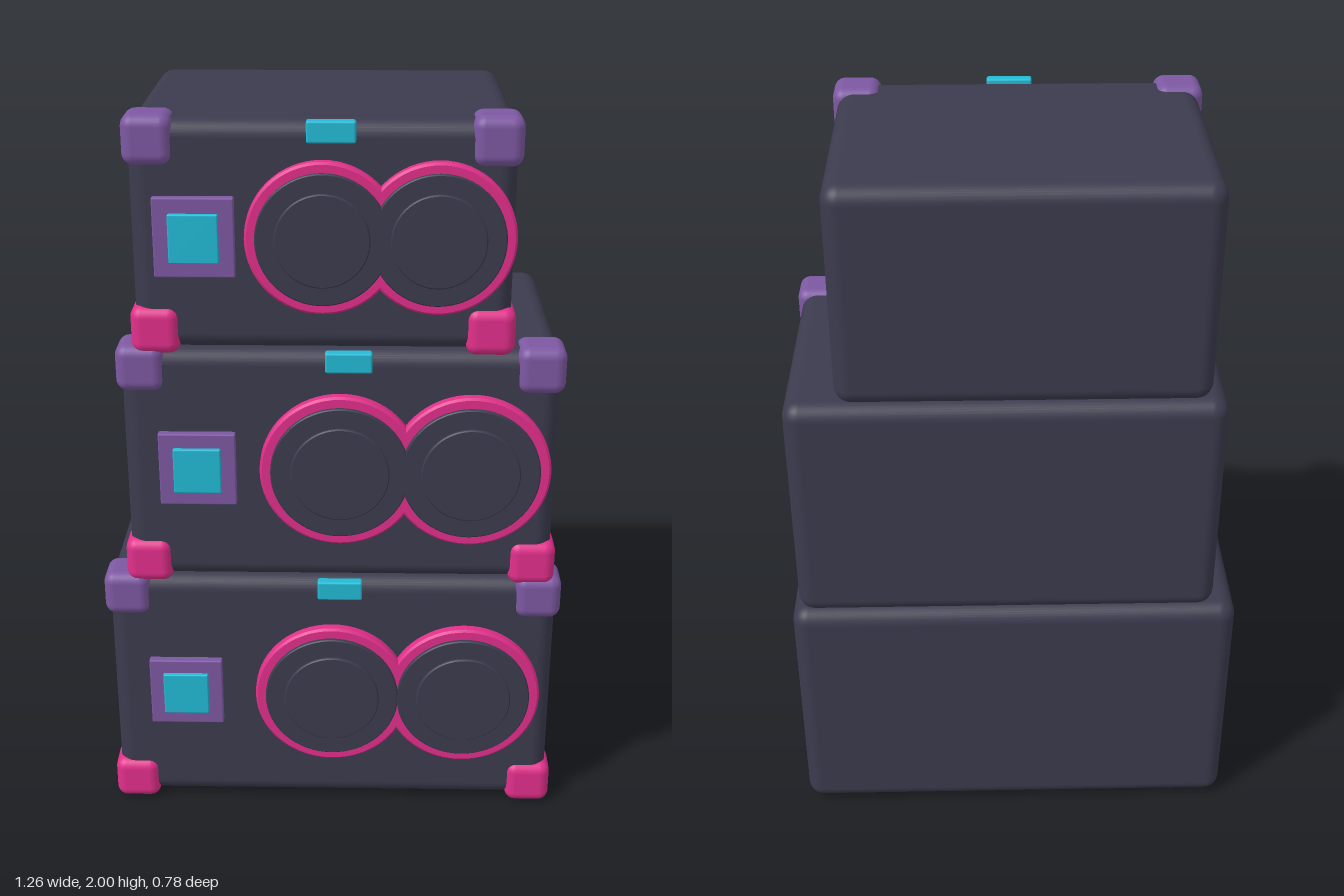
import * as THREE from 'three';
import { RoundedBoxGeometry } from 'three/addons/geometries/RoundedBoxGeometry.js';

const material = (name, color) => {
  const m = new THREE.MeshStandardMaterial({ color });
  m.name = name;
  return m;
};

export function createModel() {
  const charcoal = material('charcoal', 0x3b3b4e);
  const pink = material('pink', 0xe22f8b);
  const purple = material('purple', 0x7d58a2);
  const cyan = material('cyan', 0x22bbd6);

  const BACK = -0.39, FRONT = 0.342;

  // Rounded box given by its min and max corners
  function box(parent, name, mat, min, max, radius) {
    const s = max.map((v, i) => v - min[i]);
    const mesh = new THREE.Mesh(new RoundedBoxGeometry(s[0], s[1], s[2], 4, radius), mat);
    mesh.position.set(...max.map((v, i) => (v + min[i]) / 2));
    mesh.name = name;
    parent.add(mesh);
  }

  // Disc facing +z with a small bevel on its front edge
  function disc(parent, name, mat, x, y, radius, front, bevel) {
    const depth = front - FRONT + 0.01;
    const profile = [[0, 0], [radius, 0], [radius, 0], [radius, depth - bevel], [radius, depth - bevel],
      [radius - bevel, depth], [radius - bevel, depth], [0, depth]].map(p => new THREE.Vector2(...p));
    const geo = new THREE.LatheGeometry(profile, 64).rotateX(Math.PI / 2);
    const mesh = new THREE.Mesh(geo, mat);
    mesh.position.set(x, y, FRONT - 0.01);
    mesh.name = name;
    parent.add(mesh);
  }

  // One speaker cabinet with its fittings
  function cabinet(c) {
    const g = new THREE.Group();
    g.name = c.name;
    const [x0, x1] = c.x, [y0, y1] = c.y;
    box(g, 'cabinetBody', charcoal, [x0, y0, BACK], [x1, y1, FRONT], 0.045);

    // Corner guards: pink below, purple above
    const size = 0.127, out = 0.012;
    for (const x of [x0 - out, x1 + out - size]) {
      box(g, 'lowerCorner', pink, [x, y0 - out, 0.228], [x + size, y0 - out + size, 0.356], 0.03);
      box(g, 'upperCorner', purple, [x, y1 + out - size, 0.228], [x + size, y1 + out, 0.356], 0.03);
    }

    // Tab at the top edge
    box(g, 'topTab', cyan, [c.tab - 0.061, y1 - 0.053, 0.335], [c.tab + 0.061, y1 + 0.002, 0.366], 0.006);

    // Square control panel
    const [px, py] = c.panel;
    box(g, 'panelFrame', purple, [px - 0.102, py - 0.102, 0.335], [px + 0.102, py + 0.102, 0.364], 0.004);
    box(g, 'panelScreen', cyan, [px - 0.063, py - 0.063, 0.35], [px + 0.063, py + 0.063, 0.376], 0.004);

    // Twin speakers: surround, cone and cap
    const r = c.radius;
    for (const sx of c.speakers) {
      disc(g, 'speakerRing', pink, sx, c.speakerY, r, 0.37, 0.006);
      disc(g, 'speakerCone', charcoal, sx, c.speakerY, r * 0.865, 0.381, 0.003);
      disc(g, 'speakerCap', charcoal, sx, c.speakerY, r * 0.615, 0.39, 0.003);
    }
    return g;
  }

  const model = new THREE.Group();
  model.name = 'speakerStack';
  [
    { name: 'bottomCabinet', x: [-0.62, 0.617], y: [0.012, 0.727], tab: 0.02,
      panel: [-0.413, 0.372], speakers: [-0.002, 0.367], speakerY: 0.37, radius: 0.215 },
    { name: 'middleCabinet', x: [-0.553, 0.594], y: [0.73, 1.393], tab: 0.042,
      panel: [-0.358, 1.064], speakers: [0.02, 0.365], speakerY: 1.063, radius: 0.213 },
    { name: 'topCabinet', x: [-0.507, 0.457], y: [1.395, 1.988], tab: -0.003,
      panel: [-0.346, 1.697], speakers: [-0.025, 0.265], speakerY: 1.696, radius: 0.195 },
  ].forEach(c => model.add(cabinet(c)));
  return model;
}
